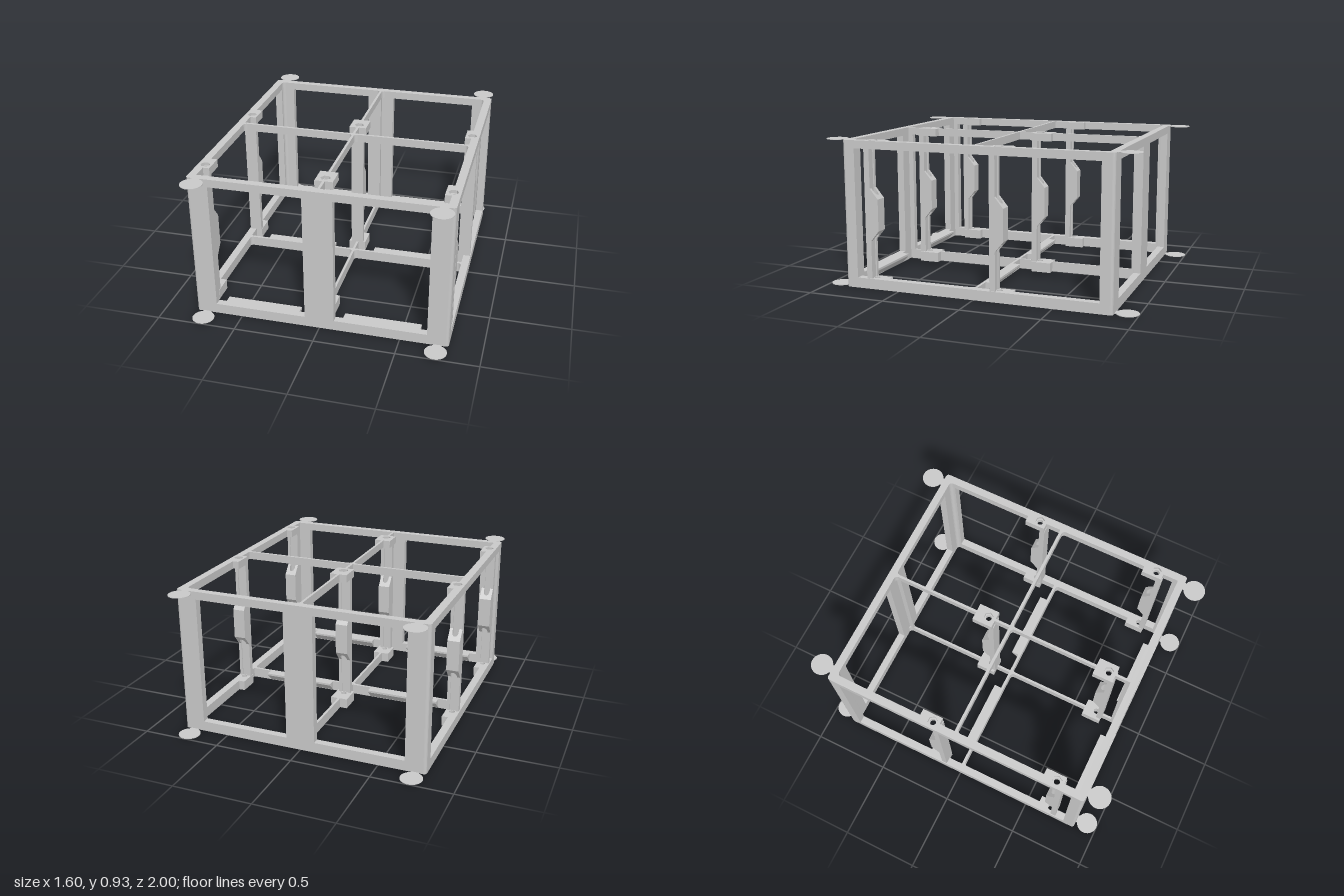
import * as THREE from 'three';

const HEIGHT = 0.93, OPEN_LOW = 0.065, OPEN_HIGH = 0.88;
const HALF_X = 0.797, HALF_Z = 0.86, IN_X = 0.748, IN_Z = 0.813, SIDE_OPEN_Z = 0.781;
const ROD_X = [-0.751, 0, 0.751], ROD_Z = [-0.155, 0.668];

export function createModel() {
  const model = new THREE.Group();
  const grey = new THREE.MeshStandardMaterial({ color: 0xc8c8c8 });
  grey.name = 'plain grey';

  const add = (name, geometry, parent = model) => {
    const mesh = new THREE.Mesh(geometry, grey);
    mesh.name = name;
    parent.add(mesh);
  };
  const box = (name, x0, x1, y0, y1, z0, z1) => add(name,
    new THREE.BoxGeometry(x1 - x0, y1 - y0, z1 - z0)
      .translate((x0 + x1) / 2, (y0 + y1) / 2, (z0 + z1) / 2));

  // plan outline as counter-clockwise points
  const outline = (points) => {
    const list = points.map(([x, z]) => new THREE.Vector2(x, -z));
    return THREE.ShapeUtils.isClockWise(list) ? list.reverse() : list;
  };
  // plan outline [x, z] raised from y0 to y1
  const raise = (points, holes, y0, y1) => {
    const shape = new THREE.Shape(outline(points));
    shape.holes = holes.map((h) => new THREE.Path(outline(h).reverse()));
    return new THREE.ExtrudeGeometry(shape, { depth: y1 - y0, bevelEnabled: false })
      .rotateX(-Math.PI / 2).translate(0, y0, 0);
  };
  // side outline [z, y] stretched from x0 to x1
  const stretch = (points, x0, x1) =>
    new THREE.ExtrudeGeometry(new THREE.Shape(points.map(([z, y]) => new THREE.Vector2(-z, y))),
      { depth: x1 - x0, bevelEnabled: false }).rotateY(Math.PI / 2).translate(x0, 0, 0);

  // part of a circle from angle a0 to a1
  const arc = (cx, cz, r, a0, a1, n = 5) => Array.from({ length: n + 1 }, (_, i) => {
    const a = a0 + (a1 - a0) * i / n;
    return [cx + r * Math.cos(a), cz + r * Math.sin(a)];
  });
  const ring = (cx, cz, r, n) => arc(cx, cz, r, 0, Math.PI * 2, n).slice(0, n);

  // outer edge of the frames, with softened corners
  const r = 0.018, q = Math.PI / 2;
  const ex = HALF_X - r, ez = HALF_Z - r;
  const rim = [...arc(ex, ez, r, 0, q), ...arc(-ex, ez, r, q, 2 * q),
    ...arc(-ex, -ez, r, 2 * q, 3 * q), ...arc(ex, -ez, r, 3 * q, 4 * q)];

  // four cells, each leaving room for the rod blocks
  const f = 0.022;
  const cell = (side, z0, z1, rodZ) => {
    const b0 = rodZ - 0.086, b1 = rodZ + 0.046;
    return [
      ...arc(0.008 + f, z0 + f, f, 2 * q, 3 * q), ...arc(IN_X - f, z0 + f, f, 3 * q, 4 * q),
      [IN_X, b0], [0.708, b0], [0.708, b1], [IN_X, b1], [IN_X, z1], [0.008, z1],
      [0.008, b1], [0.056, b1], [0.056, b0], [0.008, b0],
    ].map(([x, z]) => [x * side, z]);
  };
  const cells = [-1, 1].flatMap((s) => [
    cell(s, -IN_Z, -0.01, ROD_Z[0]), cell(s, 0.008, IN_Z, ROD_Z[1])]);
  const rodHoles = (radius, n) => ROD_X.flatMap((x) => ROD_Z.map((z) => ring(x, z, radius, n)));

  // bottom frame, top frame and its layer of hexagonal nut recesses
  add('bottomFrame', raise(rim, [...cells, ...rodHoles(0.019, 20)], 0, OPEN_LOW));
  add('topFrame', raise(rim, [...cells, ...rodHoles(0.019, 20)], OPEN_HIGH, 0.91));
  add('topFrameNutLayer', raise(rim, [...cells, ...rodHoles(0.031, 6)], 0.91, HEIGHT));

  for (const sz of [-1, 1]) {
    for (const sx of [-1, 1]) {
      // L-shaped corner posts
      const post = [[0.665, HALF_Z], [0.665, IN_Z],
        ...(sz < 0 ? arc(IN_X - f, IN_Z - f, f, q, 0) : [[IN_X, IN_Z]]),
        [IN_X, SIDE_OPEN_Z], [HALF_X, SIDE_OPEN_Z], ...arc(ex, ez, r, 0, q)]
        .map(([x, z]) => [x * sx, z * sz]);
      add('cornerPost', raise(post, [], OPEN_LOW, OPEN_HIGH));

      // thin corner pads with a short neck, at the bottom and top
      for (const y of [0, HEIGHT - 0.004]) {
        add('cornerPad', new THREE.CylinderGeometry(0.068, 0.068, 0.004, 40)
          .translate(sx * 0.73, y + 0.002, sz * 0.932));
        box('padNeck', sx * 0.73 - 0.025, sx * 0.73 + 0.025, y, y + 0.004,
          sz * 0.868 - 0.01, sz * 0.868 + 0.01);
      }
    }
    // middle posts of the front and back walls, with the stub of the divider
    const a = sz * IN_Z, b = sz * HALF_Z, c = sz * SIDE_OPEN_Z;
    box('middlePost', -0.092, 0.092, OPEN_LOW, OPEN_HIGH, Math.min(a, b), Math.max(a, b));
    box('dividerStub', -0.008, 0.008, OPEN_LOW, OPEN_HIGH, Math.min(a, c), Math.max(a, c));
  }

  // strut with a groove, and a bulge with a round-fronted tunnel for the rod
  const channel = raise([[-0.04, 0.05], [0.04, 0.05], [0.04, 0.014], [0.02, 0.014],
    [0.02, 0.022], [-0.02, 0.022], [-0.02, 0.014], [-0.04, 0.014]], [], OPEN_LOW, OPEN_HIGH);
  const bulge = raise([[-0.04, 0.014], [-0.04, -0.039], [0.04, -0.039], [0.04, 0.014],
    [0.02, 0.014], ...arc(0, 0, 0.02, 0, -Math.PI, 12), [-0.02, 0.014]], [], 0.305, 0.635);
  // slope both ends of the bulge
  const p = bulge.attributes.position;
  for (let i = 0; i < p.count; i++) {
    const slope = (0.014 - p.getZ(i)) * 1.23;
    p.setY(i, p.getY(i) + (p.getY(i) < 0.47 ? slope : -slope));
  }
  bulge.computeVertexNormals();

  for (const x of ROD_X) for (const z of ROD_Z) {
    const strut = new THREE.Group();
    strut.name = 'rodStrut';
    strut.position.set(x, 0, z);
    model.add(strut);
    add('strutChannel', channel, strut);
    add('strutBulge', bulge, strut);
  }

  // sloped ledges on the bottom cross bars
  for (const z of [-0.01, IN_Z]) for (const s of [-1, 1]) {
    const ledge = [[z, 0.002], [z, OPEN_LOW], [z - 0.05, OPEN_LOW], [z - 0.05, 0.052]];
    add('ledge', stretch(ledge, s * 0.378 - 0.239, s * 0.378 + 0.239));
  }
  return model;
}
